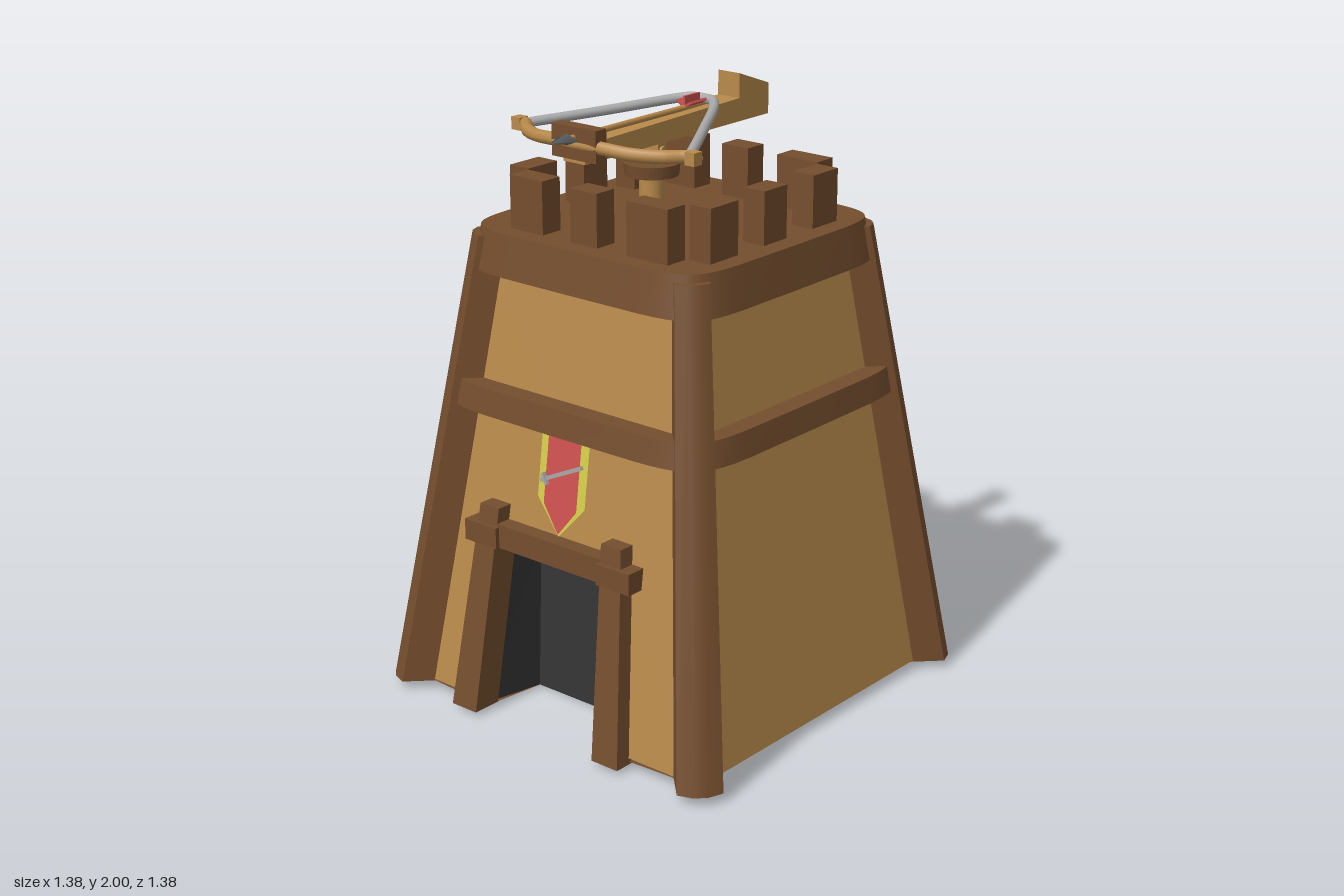
import * as THREE from 'three';
import { toCreasedNormals } from 'three/addons/utils/BufferGeometryUtils.js';

const mat = (color, side = THREE.FrontSide) => new THREE.MeshStandardMaterial({ color, side });
const TIMBER = mat(0x754e2e), WOOD = mat(0xb88a4b), DARK = mat(0x363636, THREE.DoubleSide);
const PANEL = mat(0xb88a4b, THREE.DoubleSide), UNDER = mat(0x754e2e, THREE.DoubleSide);
const RED = mat(0xcc5050), YELLOW = mat(0xd2cc48), STEEL = mat(0xa8a8a8, THREE.DoubleSide), IRON = mat(0x565a5c);

const wallAt = y => 0.62 - 0.136 * y;   // wall distance from the axis
const postAt = y => 0.695 - 0.144 * y;  // corner post reach
const DOOR_X = -0.02;

function add(parent, name, geometry, material, x = 0, y = 0, z = 0) {
  const mesh = new THREE.Mesh(geometry, material);
  mesh.name = name;
  mesh.position.set(x, y, z);
  parent.add(mesh);
  return mesh;
}

// Box given by its limits
function block(parent, name, material, [x0, x1], [y0, y1], [z0, z1]) {
  return add(parent, name, new THREE.BoxGeometry(x1 - x0, y1 - y0, z1 - z0), material,
    (x0 + x1) / 2, (y0 + y1) / 2, (z0 + z1) / 2);
}

// Skin between two rings of points, with optional end caps
function loft(a, b, capA = true, capB = true) {
  const pos = [], n = a.length;
  const tri = (...p) => p.forEach(q => pos.push(...q));
  const mid = r => [0, 1, 2].map(k => r.reduce((s, p) => s + p[k], 0) / n);
  const ca = mid(a), cb = mid(b);
  for (let i = 0; i < n; i++) {
    const j = (i + 1) % n;
    tri(a[i], a[j], b[j]);
    tri(a[i], b[j], b[i]);
    if (capA) tri(ca, a[j], a[i]);
    if (capB) tri(cb, b[i], b[j]);
  }
  const g = new THREE.BufferGeometry();
  g.setAttribute('position', new THREE.Float32BufferAttribute(pos, 3));
  return toCreasedNormals(g, 0.6);
}

const rectRing = (x0, x1, y, z0, z1) => [[x0, y, z1], [x1, y, z1], [x1, y, z0], [x0, y, z0]];

// Rounded, slightly bulging square
function bandRing(h, y) {
  const p = v => Math.sign(v) * Math.pow(Math.abs(v), 2 / 7);
  return Array.from({ length: 48 }, (_, i) => {
    const t = i / 48 * Math.PI * 2;
    return [h * p(Math.cos(t)), y, -h * p(Math.sin(t))];
  });
}

function postRing(y, w) {
  const m = postAt(y), d = 0.13;
  return [[m - w, y, m], [m - w * 0.5, y, m - w * 0.18], [m - w * 0.18, y, m - w * 0.5],
    [m, y, m - w], [m - d, y, m - w - d], [m - w - d, y, m - d]];
}

const polygon = pts => new THREE.Shape(pts.map(([x, y]) => new THREE.Vector2(x, y)));

// Flat outline leaned onto the wall
function wallGeometry(pts, offset = 0) {
  const g = new THREE.ShapeGeometry(polygon(pts)), p = g.attributes.position;
  for (let i = 0; i < p.count; i++) p.setZ(i, wallAt(p.getY(i)) + offset);
  g.computeVertexNormals();
  return g;
}

// Wall with a doorway, its recess and timber frame; c is the door centre
function doorSide(c) {
  const side = new THREE.Group();
  const b = wallAt(0.04), t = wallAt(1.5);
  add(side, 'doorWall', wallGeometry([[-b, 0.04], [c - 0.26, 0.04], [c - 0.23, 0.58], [c + 0.23, 0.58],
    [c + 0.26, 0.04], [b, 0.04], [t, 1.5], [-t, 1.5]]), PANEL);

  // Recess: two sides, sloping ceiling and back, open below
  const front = [[c - 0.26, 0.03, wallAt(0.03)], [c - 0.23, 0.58, wallAt(0.58)],
    [c + 0.23, 0.58, wallAt(0.58)], [c + 0.26, 0.03, wallAt(0.03)]];
  const back = [[c - 0.25, 0.005, 0.37], [c - 0.23, 0.54, 0.37], [c + 0.23, 0.54, 0.37], [c + 0.25, 0.005, 0.37]];
  const recess = loft(front, back, false, true);
  const kept = Array.from(recess.attributes.position.array);
  kept.splice(9 * 9, 18); // drop the bottom panel
  const open = new THREE.BufferGeometry();
  open.setAttribute('position', new THREE.Float32BufferAttribute(kept, 3));
  open.computeVertexNormals();
  add(side, 'doorRecess', open, DARK);

  for (const s of [-1, 1]) {
    const span = (p, q) => [c + Math.min(s * p, s * q), c + Math.max(s * p, s * q)];
    add(side, 'doorJamb', loft(
      rectRing(...span(0.25, 0.355), 0.02, 0.57, 0.672),
      rectRing(...span(0.215, 0.295), 0.71, 0.48, 0.578)), TIMBER);
    block(side, 'lintelEnd', TIMBER, span(0.21, 0.345), [0.58, 0.65], [0.5, 0.6]);
  }
  block(side, 'lintel', TIMBER, [c - 0.24, c + 0.24], [0.58, 0.66], [0.5, 0.585]);
  return side;
}

function createBanner() {
  const g = new THREE.Group();
  g.name = 'banner';
  const c = -0.02;
  const pennant = (w, top, low, tip) => [[c - w, low], [c, tip], [c + w, low], [c + w, top], [c - w, top]];
  add(g, 'bannerBorder', wallGeometry(pennant(0.098, 0.975, 0.77, 0.66), 0.006), YELLOW);
  add(g, 'bannerCloth', wallGeometry(pennant(0.068, 0.975, 0.755, 0.668), 0.01), RED);
  const rod = add(g, 'bannerSword', new THREE.BoxGeometry(0.19, 0.012, 0.012), STEEL, c, 0.865, wallAt(0.865) + 0.016);
  rod.rotation.z = 0.44;
  const guard = add(g, 'swordGuard', new THREE.BoxGeometry(0.01, 0.04, 0.014), STEEL, -0.085, 0.835, wallAt(0.835) + 0.016);
  guard.rotation.z = 0.44;
  return g;
}

function createCrossbow() {
  const g = new THREE.Group();
  g.name = 'crossbow';
  // Stand
  add(g, 'standPost', new THREE.CylinderGeometry(0.04, 0.04, 0.2, 16), WOOD, -0.005, 1.66, 0.1);
  add(g, 'standDisc', new THREE.CylinderGeometry(0.09, 0.085, 0.04, 24), TIMBER, -0.005, 1.76, 0.1);
  add(g, 'swivel', new THREE.CylinderGeometry(0.022, 0.022, 0.08, 12), WOOD, 0, 1.81, 0.1);
  block(g, 'swivelHead', WOOD, [-0.036, 0.036], [1.8, 1.85], [0.08, 0.12]);
  const pin = add(g, 'swivelPin', new THREE.CylinderGeometry(0.014, 0.014, 0.09, 10), WOOD, 0, 1.82, 0.1);
  pin.rotation.z = Math.PI / 2;

  // Stock: side profile with raised butt, drawn along z
  const profile = polygon([[-0.42, 1.845], [0.46, 1.845], [0.46, 1.905], [-0.27, 1.92], [-0.27, 2.0], [-0.42, 1.945]]);
  const stock = new THREE.ExtrudeGeometry(profile, { depth: 0.086, bevelEnabled: false });
  stock.rotateY(-Math.PI / 2).translate(0.043, 0, 0);
  add(g, 'stock', stock, WOOD);
  block(g, 'bowClamp', TIMBER, [-0.088, 0.088], [1.855, 1.955], [0.415, 0.462]);

  // Bow and drawn string
  const curve = pts => new THREE.CatmullRomCurve3(pts.map(p => new THREE.Vector3(...p)));
  const half = [[0.365, 1.89, 0.325], [0.325, 1.89, 0.325], [0.27, 1.89, 0.375], [0.19, 1.893, 0.42], [0.09, 1.9, 0.442]];
  const mirror = pts => pts.map(([x, y, z]) => [-x, y, z]);
  const limbs = curve([...half, [0, 1.9, 0.445], ...mirror(half).reverse()]);
  add(g, 'bowLimbs', new THREE.TubeGeometry(limbs, 48, 0.021, 8), PANEL);
  for (const s of [-1, 1]) block(g, 'limbTip', WOOD, [s * 0.348 - 0.018, s * 0.348 + 0.018], [1.87, 1.91], [0.308, 0.345]);
  const draw = [[0.325, 1.892, 0.315], [0.2, 1.91, 0.1], [0.075, 1.932, -0.105], [0.04, 1.937, -0.135]];
  const string = curve([...draw, [0, 1.937, -0.14], ...mirror(draw).reverse()]);
  add(g, 'bowString', new THREE.TubeGeometry(string, 64, 0.016, 10), STEEL);

  // Bolt
  const shaft = add(g, 'boltShaft', new THREE.CylinderGeometry(0.01, 0.01, 0.7, 8), WOOD, 0, 1.922, 0.15);
  shaft.rotation.x = Math.PI / 2;
  const head = add(g, 'boltHead', new THREE.ConeGeometry(0.042, 0.075, 4), IRON, 0, 1.922, 0.525);
  head.rotation.x = Math.PI / 2;
  head.scale.z = 0.4;
  for (let i = 0; i < 3; i++) {
    const fin = add(g, 'boltFletching', new THREE.BoxGeometry(0.034, 0.008, 0.075).translate(0.017, 0, 0), RED, 0, 1.925, -0.085);
    fin.rotation.z = Math.PI / 6 + i * Math.PI / 3;
  }
  return g;
}

export function createModel() {
  const model = new THREE.Group();

  // Walls
  const front = doorSide(DOOR_X);
  front.name = 'frontSide';
  const back = doorSide(-DOOR_X);
  back.name = 'backSide';
  back.rotation.y = Math.PI;
  model.add(front, back);
  const b = wallAt(0.04), t = wallAt(1.5);
  for (const s of [-1, 1]) {
    add(model, 'sideWall', wallGeometry([[-b, 0.04], [b, 0.04], [t, 1.5], [-t, 1.5]]), PANEL).rotation.y = s * Math.PI / 2;
  }

  // Underside, notched at both doors and dipping toward the recesses
  const x0 = DOOR_X - 0.25, x1 = DOOR_X + 0.25;
  const floor = new THREE.ShapeGeometry(polygon([[-b, -b], [x0, -b], [x0, -0.37], [x1, -0.37], [x1, -b], [b, -b],
    [b, b], [x1, b], [x1, 0.37], [x0, 0.37], [x0, b], [-b, b]])).rotateX(Math.PI / 2);
  const p = floor.attributes.position;
  for (let i = 0; i < p.count; i++) p.setY(i, Math.abs(p.getZ(i)) < 0.4 ? 0.005 : Math.abs(p.getX(i)) < 0.4 ? 0.025 : 0.04);
  floor.computeVertexNormals();
  add(model, 'underside', floor, UNDER);

  // Leaning corner posts
  for (let i = 0; i < 4; i++) {
    add(model, 'cornerPost', loft(postRing(0.035, 0.1), postRing(1.55, 0.075)), TIMBER).rotation.y = i * Math.PI / 2;
  }

  // Timber bands; the upper one carries the deck
  add(model, 'middleBand', loft(bandRing(0.555, 1.0), bandRing(0.543, 1.085)), TIMBER);
  add(model, 'topBand', loft(bandRing(0.492, 1.44), bandRing(0.472, 1.575)), TIMBER);

  // Battlements
  const rise = [1.56, 1.745];
  for (const s of [-1, 1]) {
    const row = s < 0 ? [-0.405, -0.325] : [0.325, 0.405];
    for (const span of [[-0.32, -0.185], [-0.07, 0.037], [0.155, 0.315]]) block(model, 'merlon', TIMBER, span, rise, row);
    for (const span of [[-0.31, -0.185], [-0.052, 0.06], [0.185, 0.315]]) block(model, 'merlon', TIMBER, row, rise, span);
  }

  model.add(createBanner(), createCrossbow());
  return model;
}
